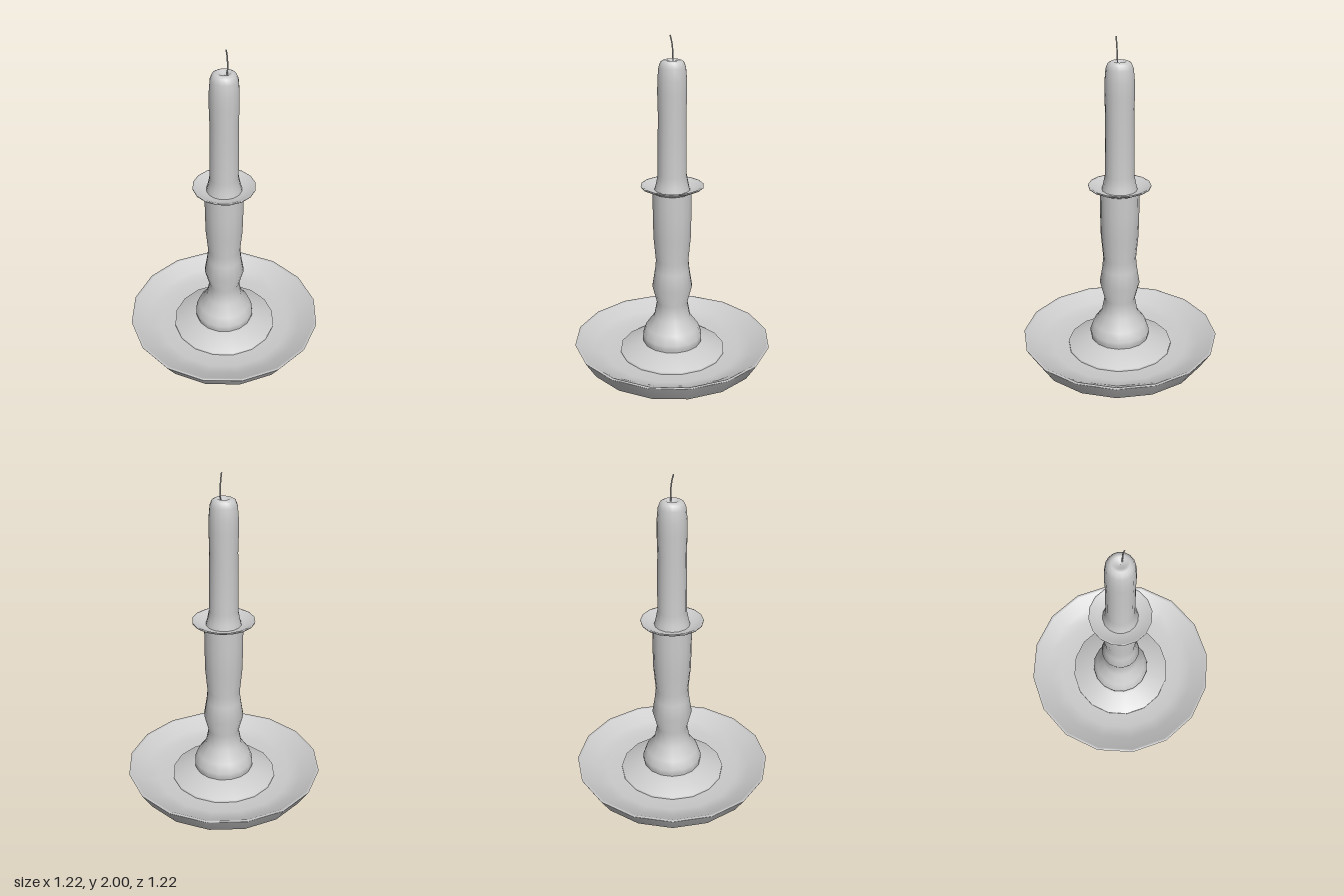
import * as THREE from 'three';

const SIDES = 16;

// Turned part: profile of [radius, height], running up the outside then inwards
function turned(name, profile, material) {
  const points = profile.map(([r, y]) => new THREE.Vector2(r, y));
  const mesh = new THREE.Mesh(new THREE.LatheGeometry(points, SIDES), material);
  mesh.name = name;
  return mesh;
}

export function createModel() {
  const group = new THREE.Group();
  group.name = 'candlestick';
  const grey = new THREE.MeshStandardMaterial({ color: 0xcccccc, side: THREE.DoubleSide });

  // Shallow drip dish with flared wall and thin rim
  group.add(turned('dish', [
    [0, 0], [0.53, 0], [0.54, 0.006], [0.604, 0.108], [0.608, 0.117],
    [0.59, 0.115], [0.5, 0.062], [0.42, 0.042], [0.3, 0.04], [0, 0.04],
  ], grey));

  // Sloping foot standing on the dish floor
  group.add(turned('foot', [
    [0.325, 0.04], [0.325, 0.055], [0.2, 0.103], [0.16, 0.108],
  ], grey));

  // Baluster stem
  group.add(turned('stem', [
    [0.178, 0.09], [0.185, 0.125], [0.184, 0.15], [0.164, 0.205], [0.113, 0.275],
    [0.095, 0.37], [0.123, 0.48], [0.107, 0.58], [0.1, 0.65], [0.114, 0.8],
    [0.117, 0.95], [0.117, 1.09],
  ], grey));

  // Flared wax collar, hollow on top
  group.add(turned('collar', [
    [0.115, 1.083], [0.186, 1.117], [0.187, 1.125], [0.178, 1.125],
    [0.13, 1.1], [0.08, 1.098],
  ], grey));

  // Candle with flared base, rounded shoulder and a small melted hollow
  group.add(turned('candle', [
    [0.106, 1.098], [0.098, 1.13], [0.086, 1.19], [0.085, 1.4], [0.083, 1.55],
    [0.086, 1.67], [0.085, 1.75], [0.079, 1.82], [0.067, 1.85], [0.05, 1.86],
    [0.035, 1.86], [0.022, 1.85], [0, 1.845],
  ], grey));

  // Thin bent wick
  const path = new THREE.CatmullRomCurve3([
    new THREE.Vector3(0.015, 1.84, -0.008),
    new THREE.Vector3(0.017, 1.91, -0.007),
    new THREE.Vector3(0.018, 1.96, -0.002),
    new THREE.Vector3(0.018, 2.0, 0.008),
  ]);
  const wick = new THREE.Mesh(new THREE.TubeGeometry(path, 8, 0.004, 6), grey);
  wick.name = 'wick';
  group.add(wick);

  return group;
}
